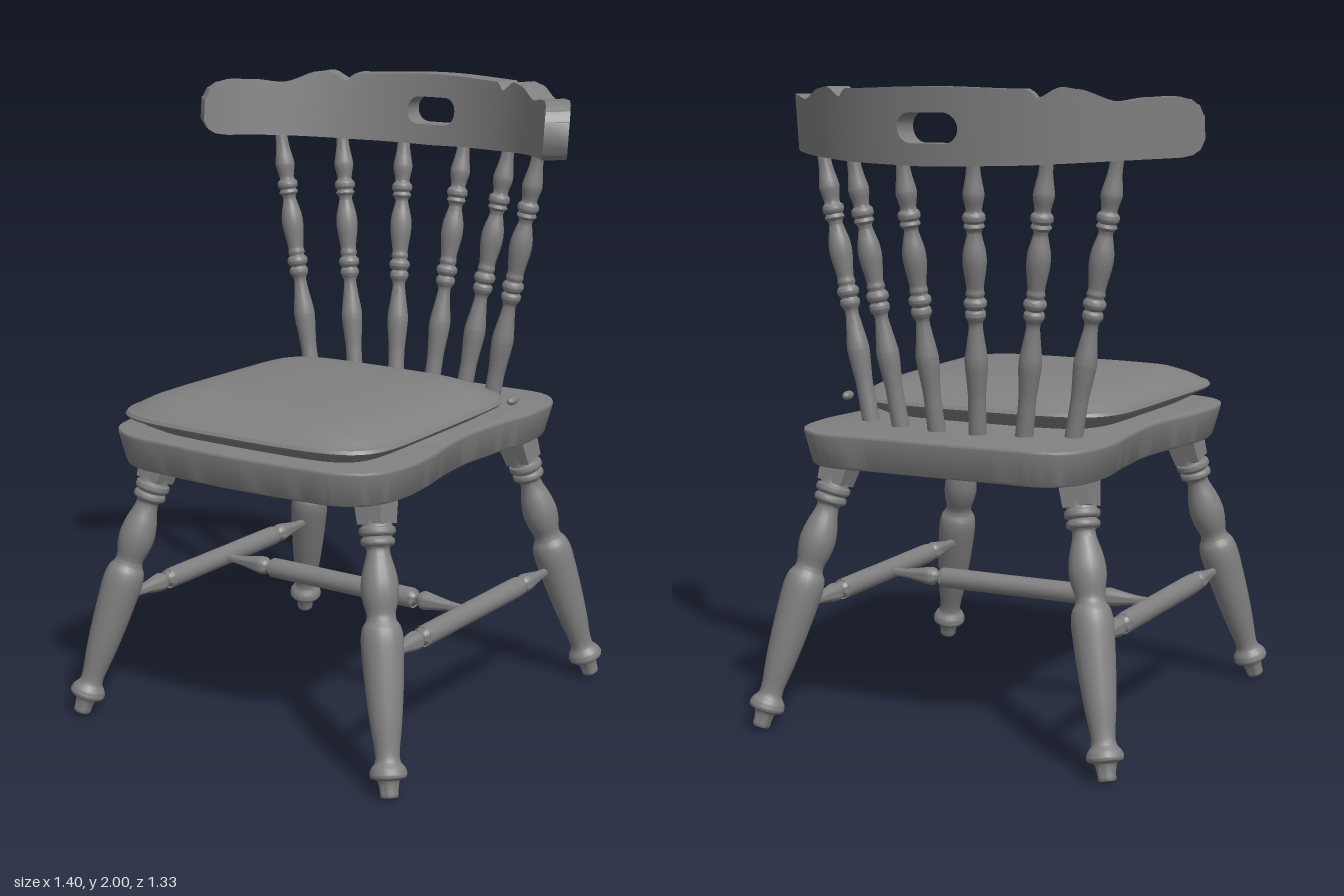
import * as THREE from 'three';
import { toCreasedNormals } from 'three/addons/utils/BufferGeometryUtils.js';

const material = new THREE.MeshStandardMaterial({ color: 0x808080 });
const UP = new THREE.Vector3(0, 1, 0);

function part(name, geometry) {
  const mesh = new THREE.Mesh(geometry, material);
  mesh.name = name;
  return mesh;
}

// Turned wood between two points; profile is [radius, distance], scaled to the length
function turned(name, profile, from, to, sides = 20) {
  const a = new THREE.Vector3(...from), b = new THREE.Vector3(...to);
  const start = profile[0][1], span = profile.at(-1)[1] - start;
  const length = a.distanceTo(b);
  const curve = new THREE.SplineCurve(profile.map(([r, y]) =>
    new THREE.Vector2(r, (y - start) / span * length)));
  const points = curve.getPoints(profile.length * 3);
  points.forEach(p => { p.x = Math.max(p.x, 0); });
  const mesh = part(name, toCreasedNormals(new THREE.LatheGeometry(points, sides), 0.7));
  mesh.position.copy(a);
  mesh.quaternion.setFromUnitVectors(UP, b.sub(a).normalize());
  return mesh;
}

// Interpolation through [x, y] knots, optionally eased
function along(knots, x, ease) {
  const clamped = Math.min(x, knots.at(-1)[0]);
  const i = Math.max(1, knots.findIndex(k => k[0] >= clamped));
  const [x0, y0] = knots[i - 1], [x1, y1] = knots[i];
  const t = (clamped - x0) / (x1 - x0);
  return y0 + (y1 - y0) * (ease ? t * t * (3 - 2 * t) : t);
}

// Seat: waisted outline with edges tapering inward to the underside
function makeSeat() {
  const half = [[0, 0.63], [0.25, 0.618], [0.4, 0.6], [0.485, 0.54], [0.522, 0.43], [0.517, 0.28],
    [0.485, 0.1], [0.475, -0.04], [0.485, -0.2], [0.505, -0.38], [0.48, -0.53], [0.4, -0.61], [0.2, -0.618], [0, -0.62]];
  const mirrored = half.slice(1, -1).reverse().map(([x, z]) => [-x, z]);
  const loop = [...half, ...mirrored].map(([x, z]) => new THREE.Vector3(x, -z, 0));
  const outline = new THREE.CatmullRomCurve3(loop, true).getPoints(120).slice(0, -1);
  const shape = new THREE.Shape(outline.map(p => new THREE.Vector2(p.x, p.y)));
  const g = new THREE.ExtrudeGeometry(shape, {
    depth: 0.09, bevelSize: 0.008, bevelThickness: 0.01, bevelOffset: -0.008, bevelSegments: 3 });
  g.rotateX(-Math.PI / 2).translate(0, 0.857, 0);
  const p = g.attributes.position;
  for (let i = 0; i < p.count; i++) {
    const t = (0.957 - p.getY(i)) / 0.11;
    p.setX(i, p.getX(i) * (1 - 0.055 * t));
    p.setZ(i, p.getZ(i) * (1 - 0.028 * t));
  }
  return part('seat', toCreasedNormals(g, 0.6));
}

// Cushion: a lathe form pushed out to a rounded square, with a piped rim
function makeCushion() {
  const profile = [[0, 0.95], [0.72, 0.95], [0.83, 0.963], [0.91, 0.983], [0.965, 1.003], [0.987, 1.004], [1, 1.012],
    [0.987, 1.022], [0.967, 1.022], [0.94, 1.034], [0.88, 1.05], [0.78, 1.069], [0.63, 1.081], [0.4, 1.088], [0, 1.09]];
  const g = new THREE.LatheGeometry(profile.map(p => new THREE.Vector2(...p)), 128);
  const p = g.attributes.position;
  const n = 6.5;
  for (let i = 0; i < p.count; i++) {
    const x = p.getX(i), z = p.getZ(i), r = Math.hypot(x, z);
    const f = r > 0 ? Math.pow(Math.abs(x / r) ** n + Math.abs(z / r) ** n, -1 / n) : 0;
    const u = x * f, w = z * f;
    p.setX(i, 0.012 + u * (0.492 - 0.014 * (1 - w)));
    p.setZ(i, 0.145 + w * (0.488 - 0.025 * u * u));
  }
  return part('cushion', toCreasedNormals(g, 0.8));
}

// Crest rail: curved bands around the hand slot, each given by its top and bottom edges
function makeCrest() {
  const topKnots = [[0, 2], [0.305, 1.993], [0.325, 1.967], [0.39, 1.998], [0.43, 1.992], [0.53, 1.957],
    [0.6, 1.968], [0.65, 1.971], [0.675, 1.963], [0.69, 1.947], [0.7, 1.915]];
  const bottomKnots = [[0, 1.768], [0.3, 1.775], [0.58, 1.79], [0.655, 1.793], [0.677, 1.8], [0.691, 1.815], [0.7, 1.845]];
  const top = x => along(topKnots, Math.abs(x), true);
  const bottom = x => along(bottomKnots, Math.abs(x), false);
  const slotHalf = 0.1, slotRadius = 0.045, slotY = 1.88;
  const slot = x => {
    const d = Math.max(0, Math.abs(x) - (slotHalf - slotRadius));
    return Math.sqrt(Math.max(0, slotRadius ** 2 - d * d));
  };
  const verts = [];
  const band = (x0, x1, n, hi, lo, capStart, capEnd) => {
    const rings = [];
    for (let i = 0; i <= n; i++) {
      const x = x0 + (x1 - x0) * (1 - Math.cos(Math.PI * i / n)) / 2;
      const xi = x * 0.92;
      const zOut = 0.169 - Math.sqrt(0.6225 - x * x), zIn = 0.189 - Math.sqrt(0.524 - xi * xi);
      const t = hi(x), b = lo(x), lean = y => (2 - y) * 0.11;
      rings.push([[x, b, zOut + lean(b)], [x, t, zOut + lean(t)], [xi, t, zIn + lean(t)], [xi, b, zIn + lean(b)]]);
    }
    for (let i = 0; i < n; i++) for (let k = 0; k < 4; k++) {
      const a = rings[i][k], b = rings[i][(k + 1) % 4], c = rings[i + 1][k], d = rings[i + 1][(k + 1) % 4];
      verts.push(...a, ...b, ...c, ...b, ...d, ...c);
    }
    const s = rings[0], e = rings[n];
    if (capStart) verts.push(...s[0], ...s[2], ...s[1], ...s[0], ...s[3], ...s[2]);
    if (capEnd) verts.push(...e[0], ...e[1], ...e[2], ...e[0], ...e[2], ...e[3]);
  };
  band(-0.7, -slotHalf, 64, top, bottom, true, false);
  band(slotHalf, 0.7, 64, top, bottom, false, true);
  band(-slotHalf, slotHalf, 28, top, x => slotY + slot(x), false, false);
  band(-slotHalf, slotHalf, 28, x => slotY - slot(x), bottom, false, false);
  const g = new THREE.BufferGeometry();
  g.setAttribute('position', new THREE.Float32BufferAttribute(verts, 3));
  return part('crestRail', toCreasedNormals(g, 0.6));
}

const legProfile = [[0, 0], [0.025, 0.001], [0.028, 0.02], [0.034, 0.048], [0.053, 0.056], [0.056, 0.07], [0.05, 0.084],
  [0.038, 0.1], [0.037, 0.13], [0.047, 0.2], [0.056, 0.29], [0.062, 0.38], [0.064, 0.44], [0.058, 0.475], [0.046, 0.495],
  [0.044, 0.515], [0.053, 0.55], [0.057, 0.59], [0.05, 0.635], [0.038, 0.675], [0.036, 0.7], [0.05, 0.71], [0.051, 0.724],
  [0.043, 0.732], [0.054, 0.74], [0.054, 0.756], [0.045, 0.764], [0.045, 0.8]];
const spindleProfile = [[0.028, 0.95], [0.027, 1.06], [0.029, 1.1], [0.035, 1.17], [0.034, 1.2], [0.025, 1.26],
  [0.021, 1.3], [0.031, 1.32], [0.031, 1.335], [0.025, 1.343], [0.034, 1.355], [0.034, 1.37], [0.025, 1.38],
  [0.029, 1.39], [0.026, 1.405], [0.029, 1.43], [0.036, 1.48], [0.034, 1.52], [0.023, 1.565], [0.023, 1.58],
  [0.032, 1.592], [0.027, 1.603], [0.034, 1.612], [0.033, 1.628], [0.024, 1.64], [0.032, 1.68], [0.031, 1.7],
  [0.022, 1.75], [0.02, 1.8]];
const halfStretcher = [[0.033, 0.05], [0.033, 0.27], [0.029, 0.288], [0.019, 0.298], [0.019, 0.31], [0.029, 0.325],
  [0.029, 0.345], [0.02, 0.4], [0.014, 0.45], [0.013, 0.51]];
const stretcherProfile = [...halfStretcher.map(([r, d]) => [r, -d]).reverse(), ...halfStretcher];

export function createModel() {
  const chair = new THREE.Group();
  chair.name = 'chair';
  chair.add(makeSeat(), makeCushion(), makeCrest());

  // Small cushion tie at the back left corner
  const knot = part('cushionTie', new THREE.SphereGeometry(0.018, 12, 8));
  knot.scale.set(0.8, 0.8, 1.6);
  knot.position.set(0.485, 1.015, -0.25);
  chair.add(knot);

  // Splayed legs with square blocks under the seat
  for (const sx of [-1, 1]) for (const sz of [-1, 1]) {
    const at = y => [sx * (0.597 - 0.225 * y), y, sz * (0.625 - 0.245 * y)];
    const name = (sz > 0 ? 'front' : 'back') + (sx > 0 ? 'Left' : 'Right');
    const leg = turned(name + 'Leg', legProfile, at(0.006), at(0.8));
    const block = part(name + 'LegBlock', new THREE.CylinderGeometry(0.073, 0.06, 0.12, 4, 1)
      .rotateY(Math.PI / 4).toNonIndexed());
    block.geometry.computeVertexNormals();
    block.position.set(...at(0.825));
    block.quaternion.copy(leg.quaternion);
    chair.add(leg, block);
  }

  // H-shaped stretchers
  const h = 0.385;
  for (const s of [-1, 1])
    chair.add(turned(s > 0 ? 'leftStretcher' : 'rightStretcher', stretcherProfile, [s * 0.495, h, -0.51], [s * 0.495, h, 0.51]));
  chair.add(turned('crossStretcher', stretcherProfile, [-0.49, h, 0], [0.49, h, 0]));

  // Back spindles fanning outward: [bottom x, bottom z, top x, top z]
  for (const [bx, bz, tx, tz] of [[0.35, -0.335, 0.5, -0.36], [0.212, -0.39, 0.327, -0.475], [0.07, -0.42, 0.119, -0.54]])
    for (const s of [-1, 1])
      chair.add(turned('backSpindle', spindleProfile, [s * bx, 0.95, bz], [s * tx, 1.8, tz], 16));

  return chair;
}
